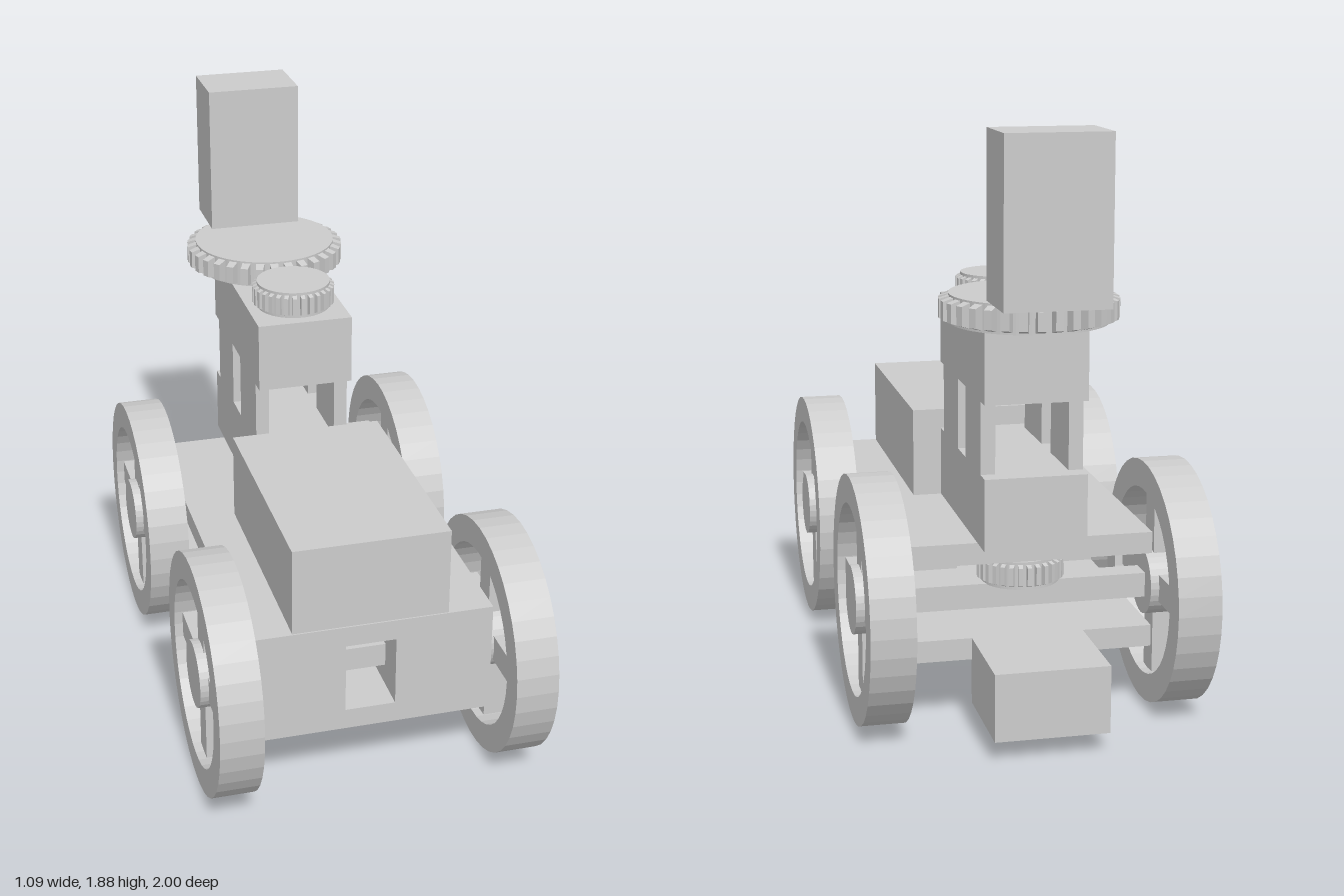
import * as THREE from 'three';
import { mergeGeometries } from 'three/addons/utils/BufferGeometryUtils.js';

const material = new THREE.MeshStandardMaterial({ color: 0xcccccc, flatShading: true });

function add(parent, name, geometry) {
  const mesh = new THREE.Mesh(geometry, material);
  mesh.name = name;
  parent.add(mesh);
  return mesh;
}

// Box given by its limits on each axis
function block(parent, name, x0, x1, y0, y1, z0, z1) {
  const mesh = add(parent, name, new THREE.BoxGeometry(x1 - x0, y1 - y0, z1 - z0));
  mesh.position.set((x0 + x1) / 2, (y0 + y1) / 2, (z0 + z1) / 2);
  return mesh;
}

// Flat gear on a vertical axis: a disc with tapered teeth
function gear(parent, name, root, tip, count, y0, y1, z) {
  const h = y1 - y0;
  const parts = [new THREE.CylinderGeometry(root, root, h, count * 2)];
  const width = (Math.PI * 2 * root / count) * 0.66;
  for (let i = 0; i < count; i++) {
    const tooth = new THREE.BoxGeometry(tip - root + 0.02, h, width);
    tooth.translate((tip + root - 0.02) / 2, 0, 0);
    const p = tooth.attributes.position;
    for (let k = 0; k < p.count; k++) {
      if (p.getX(k) > root) p.setXYZ(k, tip, p.getY(k) * 0.65, p.getZ(k) * 0.8);
    }
    tooth.rotateY((i + 0.5) * Math.PI * 2 / count);
    parts.push(tooth);
  }
  add(parent, name, mergeGeometries(parts)).position.set(0, (y0 + y1) / 2, z);
}

// Spoked wheel, axis along x
function wheel(name, x, z) {
  const group = new THREE.Group();
  group.name = name;
  const R = 0.396, r = 0.305, w = 0.07;
  const profile = [[R, -w], [R, w], [r, w], [r, -w], [R, -w]].map(([a, b]) => new THREE.Vector2(a, b));
  add(group, 'rim', new THREE.LatheGeometry(profile, 40)).rotation.z = Math.PI / 2;
  add(group, 'hub', new THREE.CylinderGeometry(0.11, 0.11, 2 * w, 32)).rotation.z = Math.PI / 2;
  for (let i = 0; i < 4; i++) {
    const spoke = new THREE.BoxGeometry(0.085, 0.24, 0.088);
    spoke.translate(0, 0.2, 0);
    add(group, 'spoke', spoke).rotation.x = i * Math.PI / 2;
  }
  group.position.set(x, 0.397, z);
  return group;
}

export function createModel() {
  const model = new THREE.Group();
  model.name = 'tractionEngine';

  // Chassis: two plates joined at the front by side blocks around a square tunnel
  block(model, 'deck', -0.405, 0.405, 0.52, 0.59, -0.645, 0.76);
  block(model, 'bottomPlate', -0.405, 0.405, 0.21, 0.28, -0.645, 0.76);
  block(model, 'rightChassisBlock', -0.405, -0.083, 0.28, 0.52, 0.07, 0.76);
  block(model, 'leftChassisBlock', 0.083, 0.405, 0.28, 0.52, 0.07, 0.76);
  block(model, 'rearBox', -0.18, 0.18, 0.065, 0.28, -0.975, -0.64);
  block(model, 'bonnet', -0.257, 0.257, 0.59, 0.885, -0.055, 0.755);

  // Tower: base, four thin pillars and a top block
  block(model, 'towerBase', -0.162, 0.162, 0.59, 0.82, -0.75, -0.055);
  block(model, 'towerTop', -0.162, 0.162, 1.05, 1.285, -0.75, -0.055);
  for (const s of [-1, 1]) {
    for (const [z0, z1] of [[-0.345, -0.11], [-0.69, -0.465]]) {
      const x = s * 0.139;
      block(model, 'towerPillar', x - 0.023, x + 0.023, 0.82, 1.05, z0, z1);
    }
  }
  block(model, 'upperBox', -0.162, 0.162, 1.375, 1.885, -1, -0.775);

  // Gears on the tower and under the deck
  gear(model, 'largeGear', 0.247, 0.277, 32, 1.285, 1.375, -0.64);
  gear(model, 'smallGear', 0.125, 0.14, 30, 1.285, 1.375, -0.22);
  gear(model, 'steeringGear', 0.125, 0.14, 30, 0.43, 0.52, -0.53);

  // Axles and wheels
  for (const [place, z] of [['front', 0.604], ['rear', -0.532]]) {
    block(model, place + 'Axle', -0.41, 0.41, 0.352, 0.432, z - 0.042, z + 0.042);
    model.add(wheel(place + 'LeftWheel', 0.475, z), wheel(place + 'RightWheel', -0.475, z));
  }
  return model;
}
